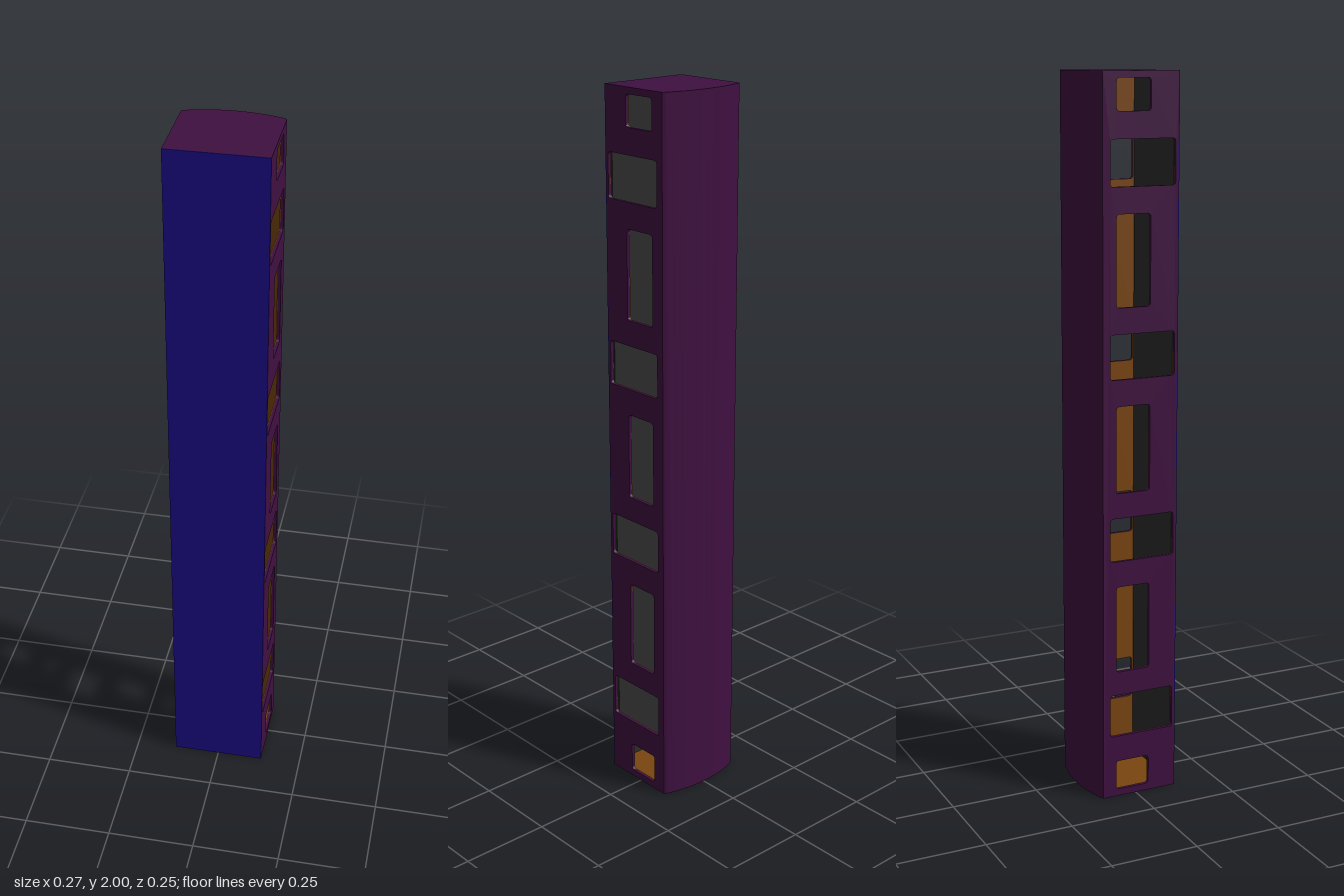
import * as THREE from 'three';

const W = 0.133, H = 2, WALL = 0.008, LINING = 0.002, FRONT = 0.1205;

const mat = (color) => new THREE.MeshStandardMaterial({ color, side: THREE.DoubleSide });
const casing = mat(0x3f1040), inner = mat(0x7a4510), screen = mat(0x1c0c88), board = mat(0x0c400c), cover = mat(0x2c2c2c);

// bowed rear outline from -x to +x, inset by d; shape y points to the back
function backCurve(d) {
  const pts = [[-W + d, 0.1 - d]];
  for (let i = 0; i <= 12; i++) {
    const t = -1 + i / 6;
    pts.push([t * (0.125 - d), 0.125 - d - 0.02 * t * t]);
  }
  pts.push([W - d, 0.1 - d]);
  return pts.map(([x, y]) => new THREE.Vector2(x, y));
}

// extrude a plan outline upwards from height y
function upright(points, y, height) {
  const g = new THREE.ExtrudeGeometry(new THREE.Shape(points), { depth: height, bevelEnabled: false });
  return g.rotateX(-Math.PI / 2).translate(0, y, 0);
}

// rounded opening between z0 < z1 and y0 < y1; shape x is -z
function opening(z0, z1, y0, y1, r = 0.01) {
  const a = -z1, b = -z0, p = new THREE.Path();
  p.moveTo(a + r, y0);
  p.lineTo(b - r, y0).quadraticCurveTo(b, y0, b, y0 + r);
  p.lineTo(b, y1 - r).quadraticCurveTo(b, y1, b - r, y1);
  p.lineTo(a + r, y1).quadraticCurveTo(a, y1, a, y1 - r);
  p.lineTo(a, y0 + r).quadraticCurveTo(a, y0, a + r, y0);
  return p;
}

// pierced side plate lying from x to x + depth
function sidePlate(x, depth, inset) {
  const s = new THREE.Shape();
  s.moveTo(-FRONT, inset).lineTo(0.1 - inset, inset).lineTo(0.1 - inset, H - inset).lineTo(-FRONT, H - inset).closePath();
  for (const y of [0.18, 0.69, 1.195, 1.705]) s.holes.push(opening(-0.078, 0.113, y, y + 0.122));
  for (const [a, b] of [[0.02, 0.105], [0.37, 0.617], [0.882, 1.122], [1.388, 1.634], [1.898, 1.982]])
    s.holes.push(opening(-0.06, 0.04, a, b));
  const g = new THREE.ExtrudeGeometry(s, { depth, bevelEnabled: false, curveSegments: 4 });
  return g.rotateY(Math.PI / 2).translate(x, 0, 0);
}

export function createModel() {
  const group = new THREE.Group();
  const add = (name, geometry, material) => {
    const m = new THREE.Mesh(geometry, material);
    m.name = name;
    group.add(m);
  };

  // side walls with their coloured inner lining
  add('leftSide', sidePlate(W - WALL, WALL, 0), casing);
  add('rightSide', sidePlate(-W, WALL, 0), casing);
  add('leftLining', sidePlate(W - WALL - LINING, LINING, WALL), inner);
  add('rightLining', sidePlate(-W + WALL, LINING, WALL), inner);

  // bowed back shell and lining
  const shell = (a, b) => [...backCurve(a), ...backCurve(b).reverse()];
  add('backShell', upright(shell(0, WALL), 0, H), casing);
  add('backLining', upright(shell(WALL, WALL + LINING), WALL, H - 2 * WALL), inner);

  // end caps and linings
  const plan = (d) => [new THREE.Vector2(W - d, -FRONT), new THREE.Vector2(-W + d, -FRONT), ...backCurve(d)];
  add('bottomCap', upright(plan(0), 0, WALL), casing);
  add('topCap', upright(plan(0), H - WALL, WALL), casing);
  add('bottomLining', upright(plan(WALL), WALL, LINING), inner);
  add('topLining', upright(plan(WALL), H - WALL - LINING, LINING), inner);

  // layered front: screen, circuit board, inner cover
  const layer = (name, w, h, z0, z1, m) =>
    add(name, new THREE.BoxGeometry(w, h, z1 - z0).translate(0, H / 2, (z0 + z1) / 2), m);
  layer('frontScreen', 2 * W, H, FRONT, 0.123, screen);
  layer('circuitBoard', 2 * (W - WALL), H - 2 * WALL, 0.117, FRONT, board);
  layer('innerCover', 0.236, H - 0.03, 0.114, 0.117, cover);

  return group;
}
